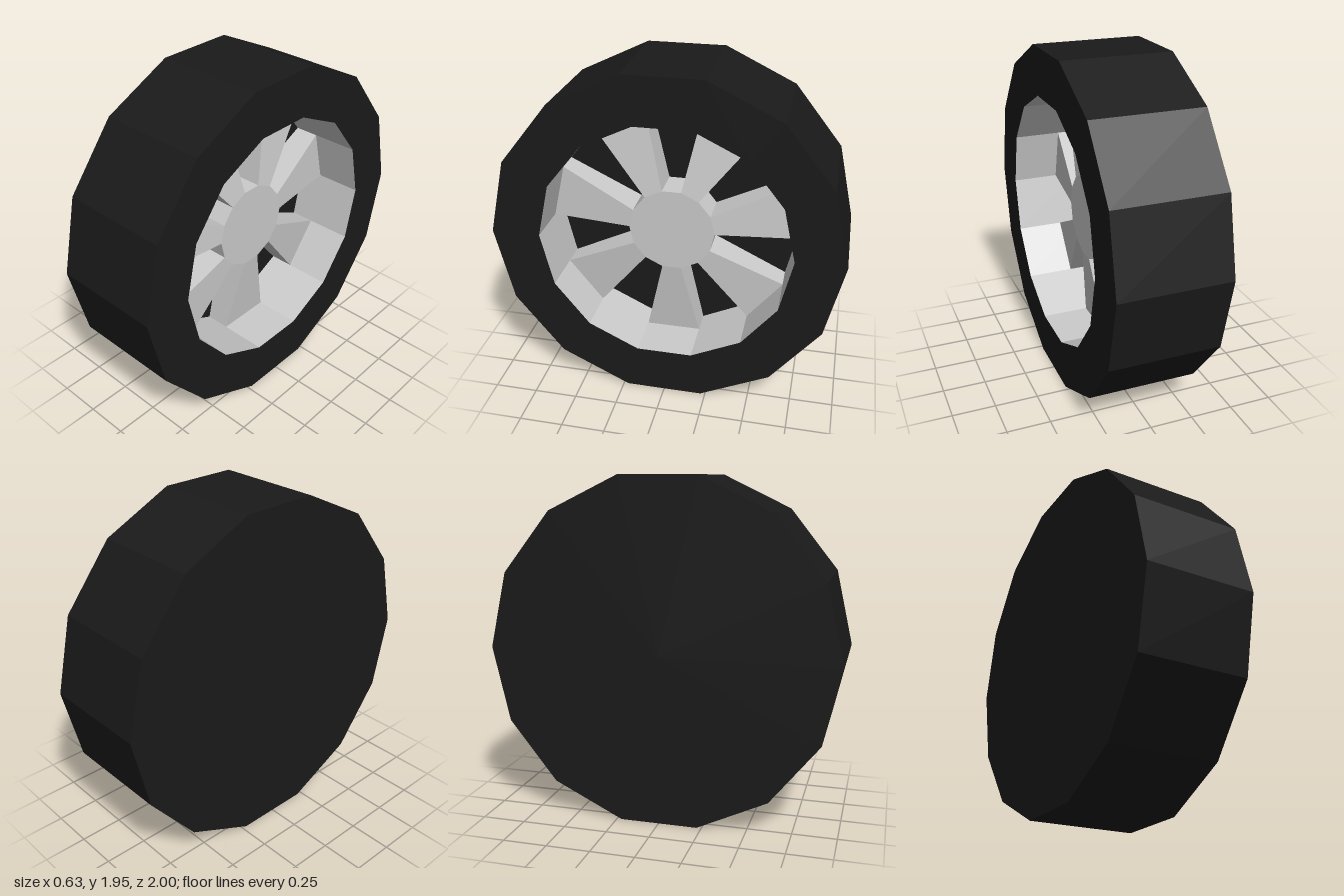
import * as THREE from 'three';

const SIDES = 14, HALF = Math.PI / SIDES;
const R = 1, RIM = 0.72, HUB = 0.25;          // radii
const FACE = 0.315, FLOOR = -0.1, HUB_TOP = 0.1, SPOKE_END = 0.043; // heights along the axle

export function createModel() {
  const model = new THREE.Group();
  model.name = 'wheel';
  const rubber = new THREE.MeshStandardMaterial({ color: 0x1a1a1a, flatShading: true });
  const metal = new THREE.MeshStandardMaterial({ color: 0xcccccc, flatShading: true });

  // Everything is built around a vertical axle, then laid along x
  const axle = new THREE.Group();
  axle.name = 'axle';
  axle.rotation.z = -Math.PI / 2;
  axle.position.y = R * Math.cos(HALF);
  model.add(axle);

  const add = (name, geometry, material) => {
    const mesh = new THREE.Mesh(geometry, material);
    mesh.name = name;
    axle.add(mesh);
    return mesh;
  };
  const lathe = (points) =>
    new THREE.LatheGeometry(points.map(([r, y]) => new THREE.Vector2(r, y)), SIDES);

  // Tyre with closed back, recessed floor and grey inner rim
  add('tyre', lathe([[0, -FACE], [R, -FACE], [R, FACE], [RIM, FACE]]), rubber);
  add('rim', lathe([[RIM, FACE], [RIM, FLOOR]]), metal);
  add('wheelFloor', lathe([[RIM, FLOOR], [0, FLOOR]]), rubber);

  // Hub
  add('hub', lathe([[HUB, FLOOR], [HUB, HUB_TOP], [0, HUB_TOP]]), metal);

  // Spokes: wedges one rim facet wide, sloping down toward the rim
  const spoke = new THREE.BoxGeometry(1, 1, 1);
  const p = spoke.attributes.position;
  for (let i = 0; i < p.count; i++) {
    const outer = p.getX(i) > 0;
    const r = outer ? RIM : HUB;
    const y = p.getY(i) < 0 ? FLOOR : outer ? SPOKE_END : HUB_TOP;
    p.setXYZ(i, r * Math.cos(HALF), y, Math.sign(p.getZ(i)) * r * Math.sin(HALF));
  }
  spoke.computeVertexNormals();
  for (let k = 0; k < 7; k++) {
    add('spoke' + (k + 1), spoke, metal).rotation.y = (k * 2 * Math.PI) / 7;
  }
  return model;
}
